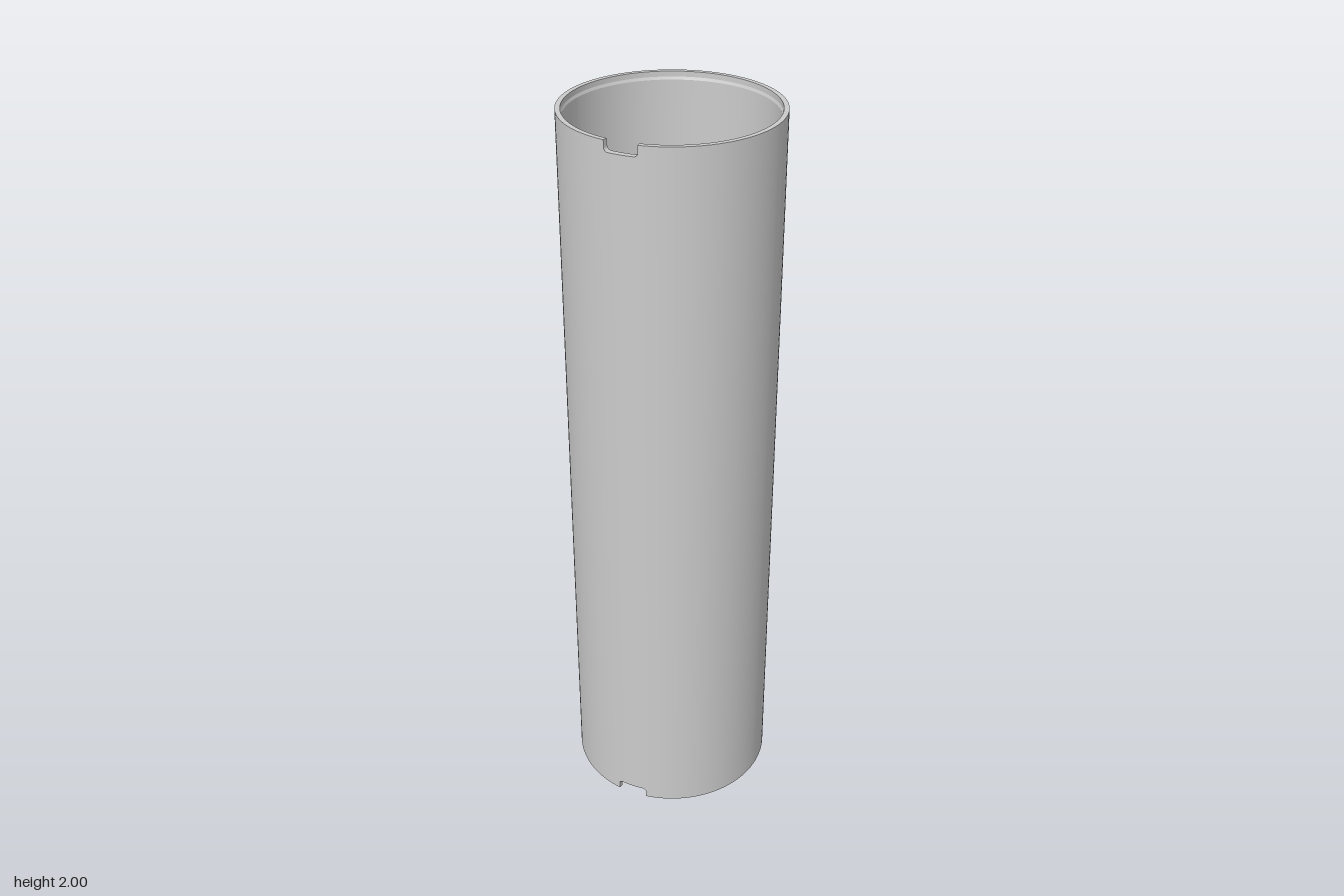
import * as THREE from 'three';
import { toCreasedNormals } from 'three/addons/utils/BufferGeometryUtils.js';

const HEIGHT = 2, OUTER = 0.28;
const NOTCH_ANGLE = 0.154, NOTCH_DEPTH = 0.028, CORNER = 0.01;

// Wall section: outer face upwards, then the stepped bore downwards
function wallSection() {
  const bore = [[0.267, 0], [0.267, 0.014], [0.264, 0.021], [0.264, 0.12], [0.2632, 0.22], [0.262, 0.22]];
  return [
    [OUTER, 0], [OUTER, HEIGHT],
    ...bore.map(([r, y]) => [r, HEIGHT - y]),
    ...bore.slice().reverse(),
  ];
}

// Columns around the tube: [angle from the front, how far both ends are cut back]
function wallColumns() {
  const side = [[NOTCH_ANGLE, 0]];
  for (let i = 0; i <= 5; i++) {
    const t = (i / 5) * Math.PI / 2;
    side.push([
      NOTCH_ANGLE - (CORNER / OUTER) * (1 - Math.cos(t)),
      NOTCH_DEPTH - CORNER * (1 - Math.sin(t)),
    ]);
  }
  const columns = side.map(([a, d]) => [-a, d]);
  columns.push([-0.06, NOTCH_DEPTH], [0, NOTCH_DEPTH], [0.06, NOTCH_DEPTH]);
  columns.push(...side.slice().reverse());
  const steps = 120, sweep = 2 * Math.PI - 2 * NOTCH_ANGLE;
  for (let i = 1; i <= steps; i++) columns.push([NOTCH_ANGLE + sweep * i / steps, 0]);
  return columns;
}

// Sweep the section through the columns, trimming its ends inside the notches
function tubeGeometry() {
  const section = wallSection();
  const rings = wallColumns().map(([a, d]) => section.map(([r, y]) => new THREE.Vector3(
    r * Math.sin(a), THREE.MathUtils.clamp(y, d, HEIGHT - d), r * Math.cos(a))));
  const positions = [];
  const triangle = (a, b, c) => {
    const area = b.clone().sub(a).cross(c.clone().sub(a)).length();
    if (area > 1e-9) for (const p of [a, b, c]) positions.push(p.x, p.y, p.z);
  };
  for (let i = 0; i < rings.length - 1; i++) {
    for (let j = 0; j < section.length; j++) {
      const k = (j + 1) % section.length;
      triangle(rings[i][j], rings[i + 1][j], rings[i + 1][k]);
      triangle(rings[i][j], rings[i + 1][k], rings[i][k]);
    }
  }
  const geometry = new THREE.BufferGeometry();
  geometry.setAttribute('position', new THREE.Float32BufferAttribute(positions, 3));
  return toCreasedNormals(geometry, 0.4);
}

export function createModel() {
  const group = new THREE.Group();
  group.name = 'notchedTube';
  const tube = new THREE.Mesh(tubeGeometry(), new THREE.MeshStandardMaterial({ color: 0xcccccc }));
  tube.name = 'tubeWall';
  group.add(tube);
  return group;
}
